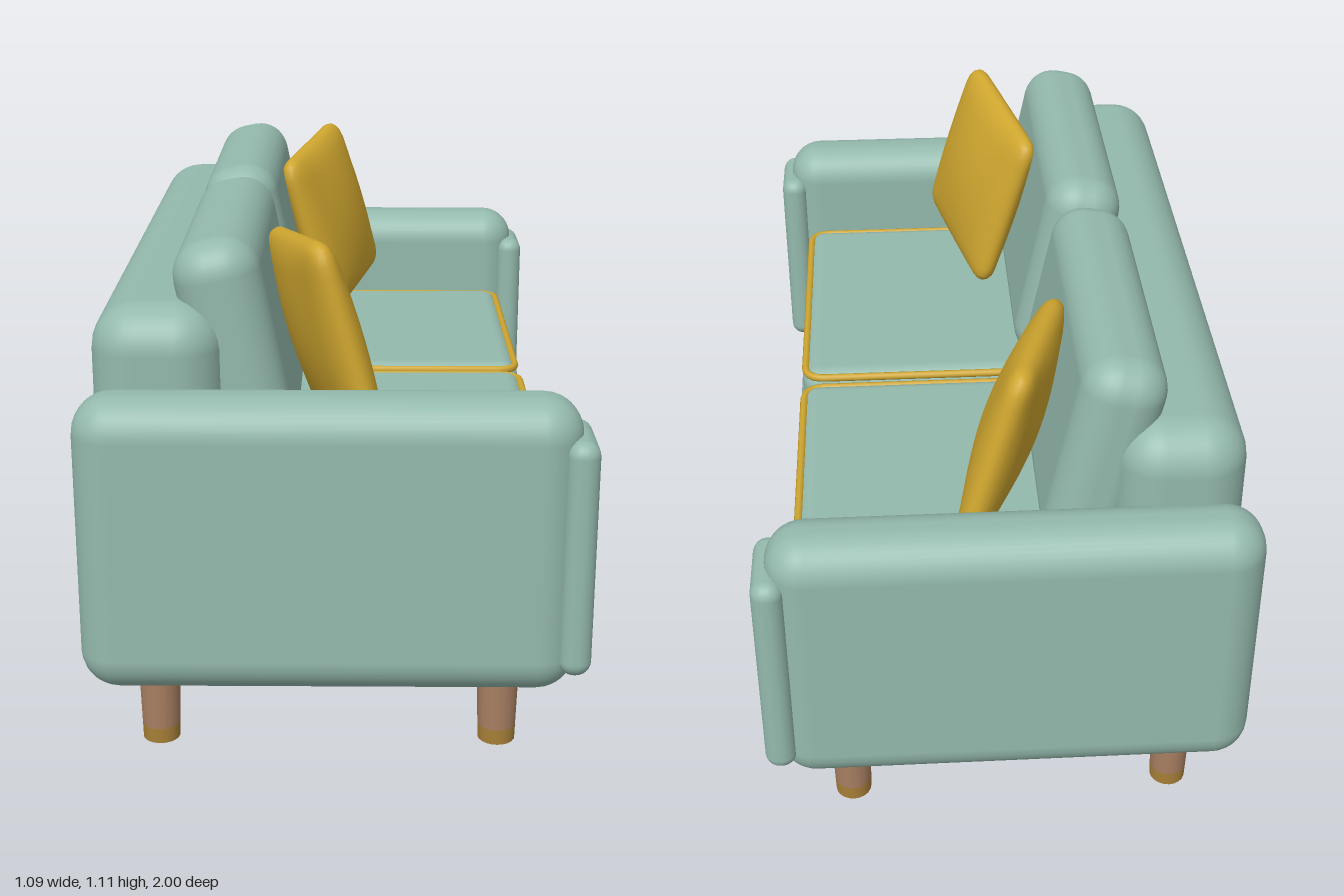
import * as THREE from 'three';
import { RoundedBoxGeometry } from 'three/addons/geometries/RoundedBoxGeometry.js';
import { mergeVertices } from 'three/addons/utils/BufferGeometryUtils.js';

const material = (name, color) => Object.assign(new THREE.MeshStandardMaterial({ color }), { name });

export function createModel() {
  const sofa = new THREE.Group();
  sofa.name = 'sofa';
  const fabric = material('sage fabric', 0x94b9ad);
  const mustard = material('mustard fabric', 0xcfa62f);
  const wood = material('wood', 0xa97f62);
  const brass = material('brass', 0xa88038);

  function add(name, geometry, mat, x = 0, y = 0, z = 0) {
    const mesh = new THREE.Mesh(geometry, mat);
    mesh.name = name;
    mesh.position.set(x, y, z);
    sofa.add(mesh);
    return mesh;
  }

  // Upholstered block given by its limits on each axis
  function block(name, [x0, x1], [y0, y1], [z0, z1], radius) {
    const geometry = new RoundedBoxGeometry(x1 - x0, y1 - y0, z1 - z0, 4, radius);
    return add(name, geometry, fabric, (x0 + x1) / 2, (y0 + y1) / 2, (z0 + z1) / 2);
  }

  // Piping that follows a rounded rectangle in the horizontal plane
  function pipingGeometry(width, depth, corner, radius) {
    const w = width / 2 - corner, d = depth / 2 - corner;
    const outline = new THREE.Shape();
    [[w, d], [-w, d], [-w, -d], [w, -d]].forEach(([x, z], i) =>
      outline.absarc(x, z, corner, i * Math.PI / 2, (i + 1) * Math.PI / 2));
    outline.closePath();
    const points = outline.getSpacedPoints(120).slice(0, -1).map(p => new THREE.Vector3(p.x, 0, p.y));
    return new THREE.TubeGeometry(new THREE.CatmullRomCurve3(points, true), 160, radius, 8, true);
  }

  // Square pillow: rounded box, fuller in the middle and thin at the seams
  function pillowGeometry(size, thick, r) {
    const geometry = new THREE.BoxGeometry(size, size, thick, 18, 18, 6);
    geometry.deleteAttribute('normal');
    geometry.deleteAttribute('uv');
    const pos = geometry.attributes.position;
    const inner = new THREE.Vector3(size / 2 - r, size / 2 - r, thick / 2 - r);
    const p = new THREE.Vector3(), core = new THREE.Vector3();
    for (let i = 0; i < pos.count; i++) {
      p.fromBufferAttribute(pos, i);
      core.copy(p).clamp(inner.clone().negate(), inner);
      p.sub(core).setLength(r).add(core);
      const u = 2 * p.x / size, v = 2 * p.y / size;
      p.z *= 0.6 + 0.7 * (1 - u * u) * (1 - v * v);
      pos.setXYZ(i, p.x, p.y, p.z);
    }
    const smooth = mergeVertices(geometry);
    smooth.computeVertexNormals();
    return smooth;
  }

  // Frame
  block('base', [-0.505, 0.487], [0.163, 0.45], [-0.85, 0.85], 0.04);
  block('backrest', [-0.517, -0.235], [0.17, 0.98], [-0.86, 0.86], 0.1);

  const pillow = pillowGeometry(0.45, 0.1, 0.049);
  const piping = pipingGeometry(0.69, 0.77, 0.045, 0.01);

  for (const s of [1, -1]) {
    const side = s > 0 ? 'left' : 'right';
    const span = (a, b) => s > 0 ? [a, b] : [-b, -a];

    // Arm with its padded front panel
    block(side + 'Arm', [-0.545, 0.515], [0.163, 0.82], span(0.808, 0.992), 0.085);
    block(side + 'ArmPanel', [0.473, 0.543], [0.217, 0.742], span(0.803, 1), 0.033);

    // Seat cushion and piping
    block(side + 'SeatCushion', [-0.235, 0.47], [0.445, 0.595], span(0.012, 0.802), 0.045);
    add(side + 'SeatPiping', piping, mustard, 0.1175, 0.58, s * 0.407);

    // Leaning back cushion
    const back = add(side + 'BackCushion', new RoundedBoxGeometry(0.19, 0.52, 0.785, 4, 0.08),
      fabric, -0.215, 0.85, s * 0.407);
    back.rotation.z = 0.2;

    // Throw pillow, leaning back and turned inward
    const up = new THREE.Vector3(-0.28, 0.955, -0.045 * s).normalize();
    const across = new THREE.Vector3(0.27, 0.115, 0.955 * s).multiplyScalar(s);
    const normal = new THREE.Vector3().crossVectors(across, up).normalize();
    across.crossVectors(up, normal);
    add(side + 'ThrowPillow', pillow, mustard, -0.027, 0.865, s * 0.595)
      .quaternion.setFromRotationMatrix(new THREE.Matrix4().makeBasis(across, up, normal));

    // Tapered legs with brass tips
    for (const [end, x] of [['Back', -0.386], ['Front', 0.358]]) {
      add(side + end + 'Leg', new THREE.CylinderGeometry(0.046, 0.042, 0.135, 20), wood, x, 0.1025, s * 0.848);
      add(side + end + 'LegTip', new THREE.CylinderGeometry(0.042, 0.041, 0.035, 20), brass, x, 0.0175, s * 0.848);
    }
  }
  return sofa;
}
